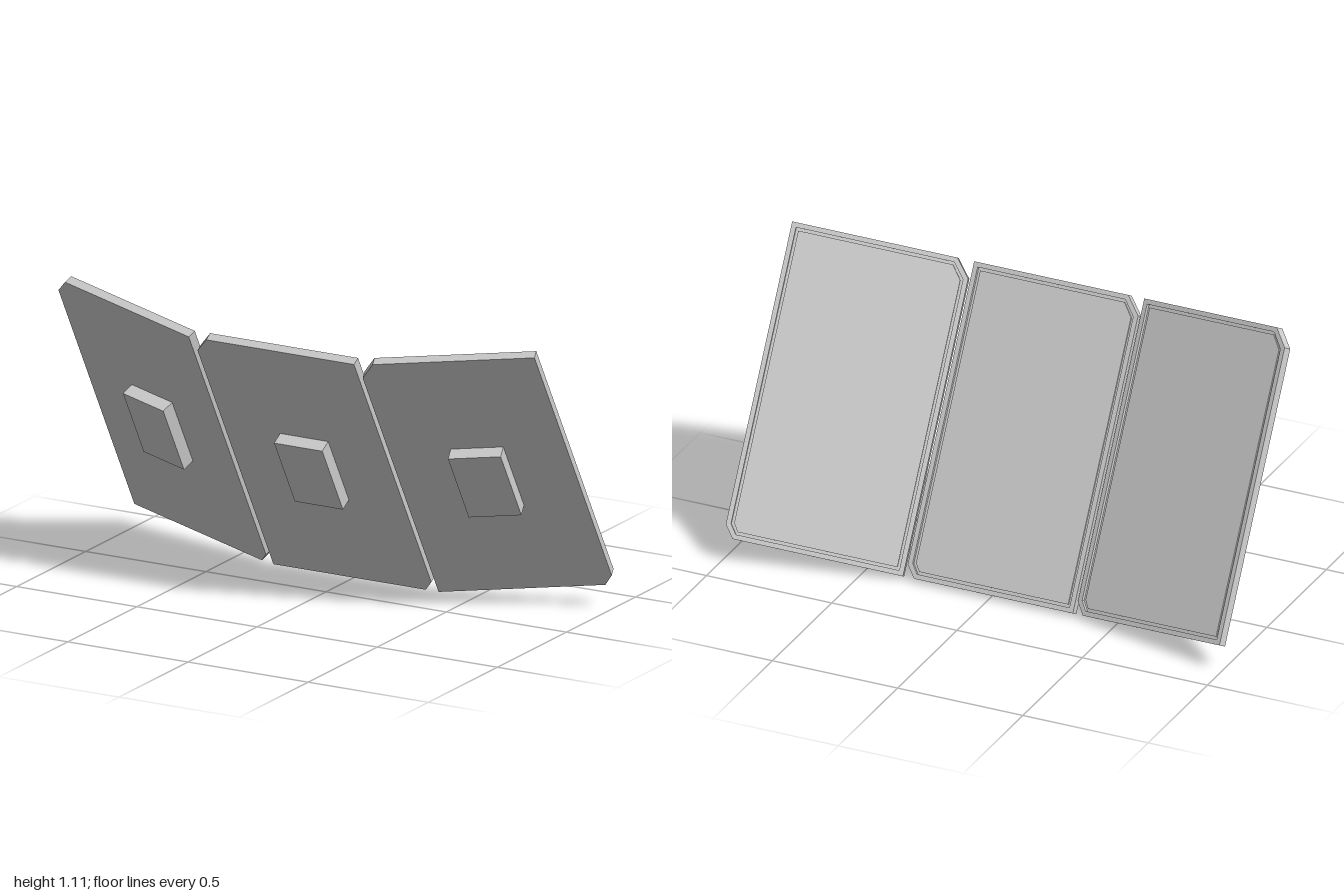
import * as THREE from 'three';

const W = 0.67, H = 1.165, T = 0.034;   // panel width, length, thickness
const RECESS = 0.012;                   // depth of the tray in the back

const material = new THREE.MeshStandardMaterial({ color: 0xcccccc, flatShading: true });

// Panel outline with its upper-left and lower-right corners cut off
function outline(inset, Type = THREE.Shape) {
  const x = W / 2 - inset, y = H / 2 - inset, k = inset * 0.59;
  const points = [
    [-x, -y], [x - 0.036 + k, -y], [x, -y + 0.046 - k],
    [x, y], [-x + 0.055 - k, y], [-x, y - 0.066 + k],
  ];
  return new Type(points.map(([px, py]) => new THREE.Vector2(px, py)));
}

function slab(name, shape, z, depth) {
  const geometry = new THREE.ExtrudeGeometry(shape, { depth, bevelEnabled: false });
  const mesh = new THREE.Mesh(geometry, material);
  mesh.name = name;
  mesh.position.z = z;
  return mesh;
}

// One panel: front face at z = 0, framed tray facing -z
function createPanel(name) {
  const panel = new THREE.Group();
  panel.name = name;

  const rim = outline(0);
  rim.holes.push(outline(0.018, THREE.Path));
  panel.add(slab('frame', rim, -T, RECESS));
  panel.add(slab('backing', outline(0), -T + RECESS, T - RECESS));
  panel.add(slab('cellSheet', outline(0.028), -T + 0.006, RECESS - 0.006));

  // Junction box in the middle of the front face
  const box = new THREE.Mesh(new THREE.BoxGeometry(0.2, 0.3, 0.06), material);
  box.name = 'junctionBox';
  box.position.set(0, -0.012, 0.02);
  panel.add(box);
  return panel;
}

export function createModel() {
  const model = new THREE.Group();
  model.name = 'panelArray';

  // The whole array leans forward by 30 degrees
  const tilted = new THREE.Group();
  tilted.name = 'tiltedArray';
  tilted.rotation.x = Math.PI / 6;
  model.add(tilted);

  // Centre panel and two wings swept back by 15 degrees
  const names = { '-1': 'rightPanel', 0: 'centrePanel', 1: 'leftPanel' };
  for (const side of [-1, 0, 1]) {
    const panel = createPanel(names[side]);
    panel.position.set(side * 0.676, 0.4825, -0.175 - Math.abs(side) * 0.0865);
    panel.rotation.y = side * Math.PI / 12;
    tilted.add(panel);
  }
  return model;
}
